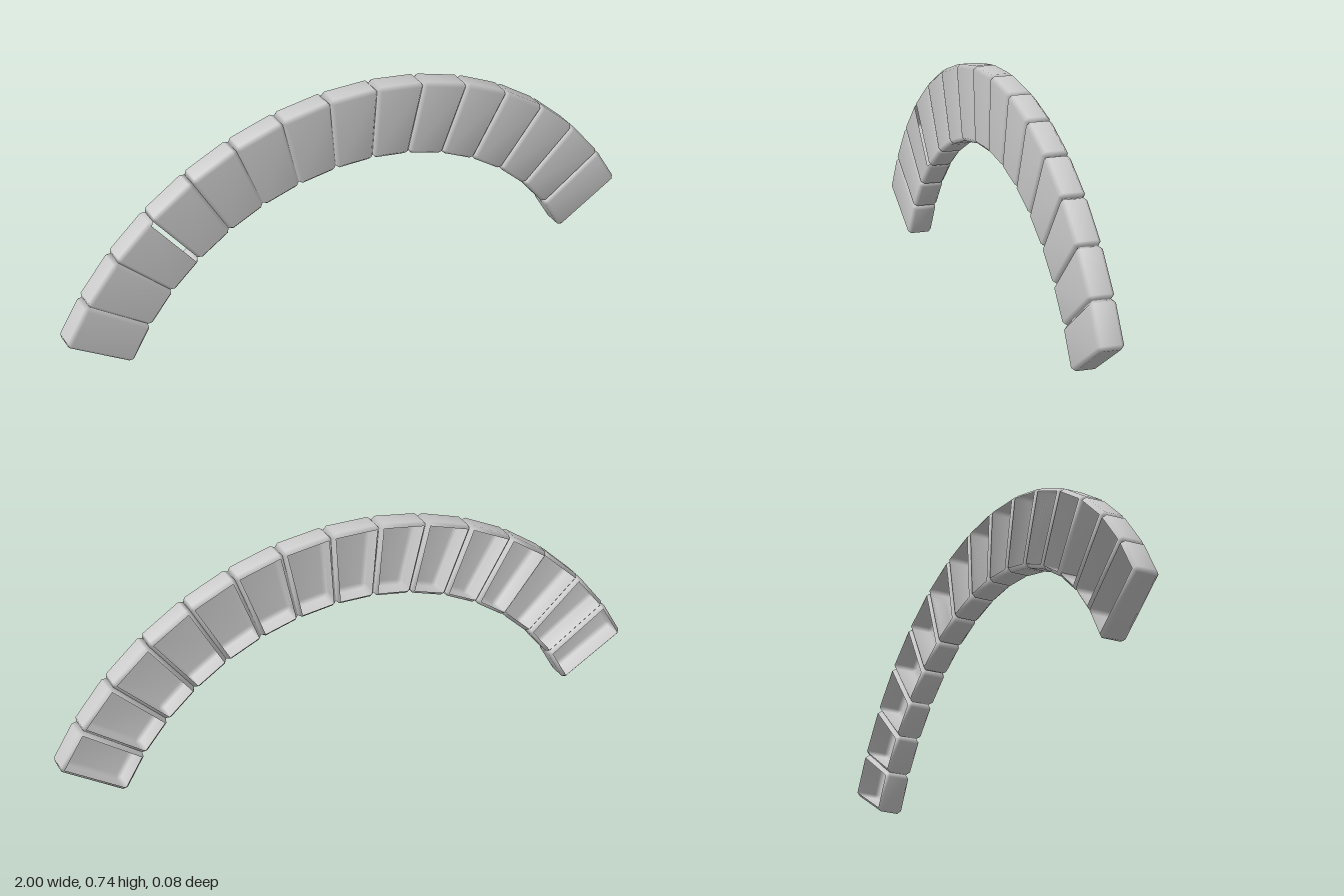
import * as THREE from 'three';

const COUNT = 15;
const PITCH = 8.52, LEAN = -0.35;            // degrees between joints, slight turn of the arch
const INNER = 0.877, OUTER = 1.128, CENTRE_Y = -0.375;
const HALF_DEPTH = 0.042, BEVEL = 0.012;

const onArc = (radius, degrees) => {
  const a = THREE.MathUtils.degToRad(degrees);
  return new THREE.Vector2(Math.sin(a) * radius, Math.cos(a) * radius + CENTRE_Y);
};

// Bevelled shell over a four-cornered outline, open at the back.
// openSide: index of an edge whose wall is left out (-1 for none).
function stoneGeometry(corners, openSide = -1) {
  const positions = [], index = [];
  const cut = [], inset = [];
  corners.forEach((p, c) => {
    const toPrev = corners[(c + 3) % 4].clone().sub(p).setLength(BEVEL);
    const toNext = corners[(c + 1) % 4].clone().sub(p).setLength(BEVEL);
    cut.push(p.clone().add(toPrev), p.clone().add(toNext));
    inset.push(p.clone().add(toPrev).add(toNext));
  });
  const addRing = (points, z) => {
    const start = positions.length / 3;
    points.forEach(p => positions.push(p.x, p.y, z));
    return k => start + (points.length === 4 ? Math.floor((k % 8) / 2) : k % 8);
  };
  const rings = [
    addRing(inset, HALF_DEPTH),
    addRing(cut, HALF_DEPTH - BEVEL),
    addRing(cut, BEVEL - HALF_DEPTH),
    addRing(inset, -HALF_DEPTH),
  ];

  // front face
  index.push(0, 1, 2, 0, 2, 3);
  // bevels, walls and back lip
  for (let r = 0; r < 3; r++) {
    const A = rings[r], B = rings[r + 1];
    for (let k = 0; k < 8; k++) {
      if (k % 2 === 1 && (k - 1) / 2 === openSide) continue;
      if (B(k) !== B(k + 1)) index.push(A(k), B(k), B(k + 1));
      if (A(k) !== A(k + 1)) index.push(A(k), B(k + 1), A(k + 1));
    }
  }
  const geometry = new THREE.BufferGeometry();
  geometry.setAttribute('position', new THREE.Float32BufferAttribute(positions, 3));
  geometry.setIndex(index);
  geometry.computeVertexNormals();
  return geometry;
}

export function createModel() {
  const arch = new THREE.Group();
  arch.name = 'stoneArch';
  const material = new THREE.MeshStandardMaterial({ color: 0xcccccc, side: THREE.DoubleSide });

  for (let i = 0; i < COUNT; i++) {
    const a0 = (i - COUNT / 2) * PITCH + LEAN;
    const a1 = a0 + PITCH;
    // the two end stones are squarer than the wedges between them
    const first = i === 0 ? 1 : 0, last = i === COUNT - 1 ? 1 : 0;
    const corners = [
      onArc(INNER, a0 - 0.4 * first),
      onArc(INNER, a1 + 0.4 * last),
      onArc(OUTER, a1 - 0.9 * last),
      onArc(OUTER, a0 + 0.9 * first),
    ];
    // the third stone has no wall towards its right-hand neighbour
    const stone = new THREE.Mesh(stoneGeometry(corners, i === 2 ? 1 : -1), material);
    stone.name = i === (COUNT - 1) / 2 ? 'keystone' : `archStone${i + 1}`;
    arch.add(stone);
  }
  return arch;
}
